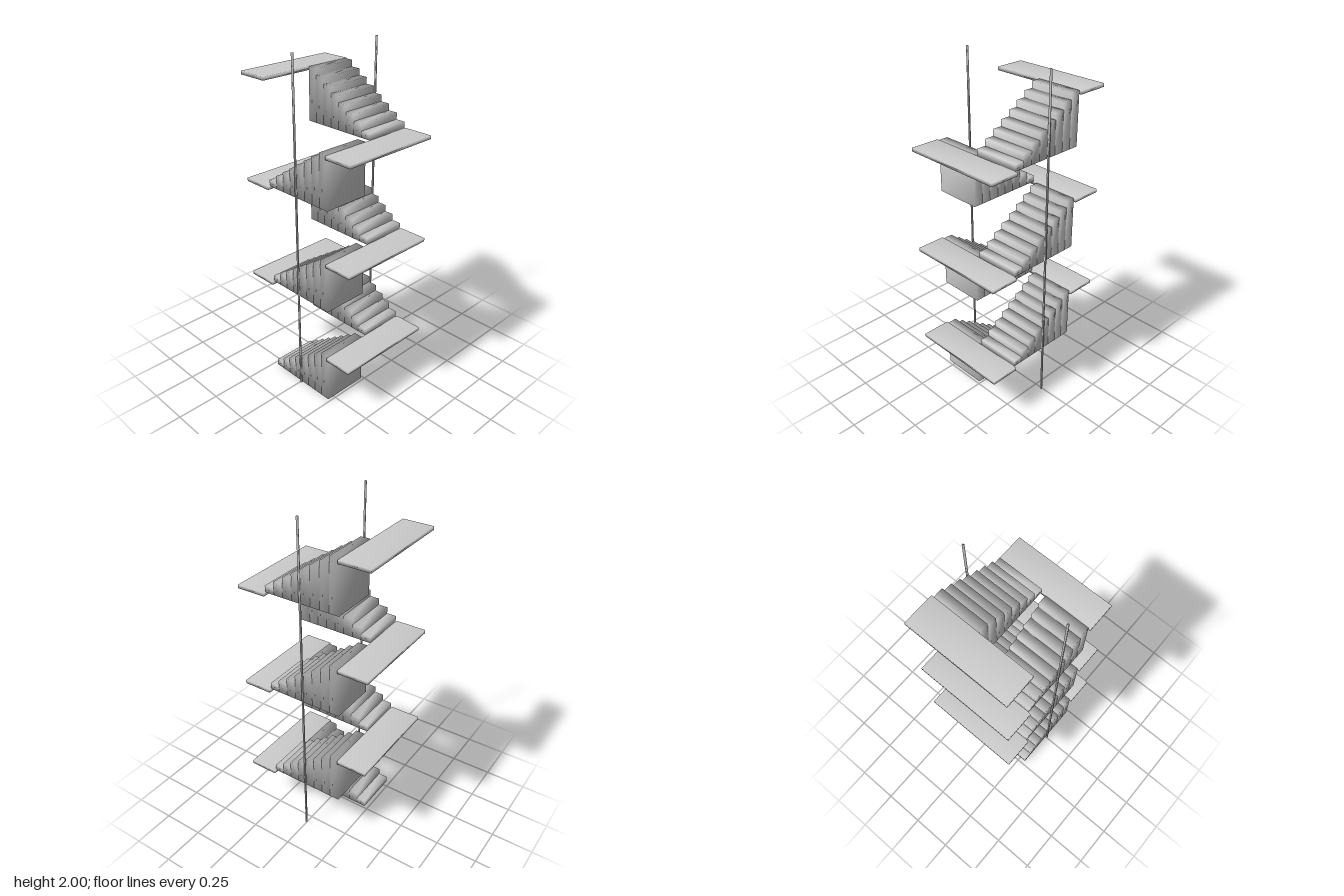
import * as THREE from 'three';
import { mergeVertices } from 'three/addons/utils/BufferGeometryUtils.js';

const FLIGHTS = 6, STEPS = 8;
const RISE = 1.84 / FLIGHTS;            // height of one flight
const BACK = -0.225, FRONT = 0.234;     // z range of the flights
const TREAD = (FRONT - BACK) / STEPS;
const END = 0.407;                      // outer edge of the landings

const material = new THREE.MeshStandardMaterial({ color: 0xcccccc });

// Box given by its limits, with normals shared softly across the corners
function softBox(name, x0, x1, y0, y1, z0, z1) {
  let geo = new THREE.BoxGeometry(x1 - x0, y1 - y0, z1 - z0);
  geo.deleteAttribute('normal');
  geo.deleteAttribute('uv');
  geo = mergeVertices(geo);
  geo.computeVertexNormals();
  geo.translate((x0 + x1) / 2, (y0 + y1) / 2, (z0 + z1) / 2);
  const mesh = new THREE.Mesh(geo, material);
  mesh.name = name;
  return mesh;
}

export function createModel() {
  const model = new THREE.Group();
  model.name = 'staircase';

  for (let f = 0; f < FLIGHTS; f++) {
    const towardFront = f % 2 === 0;
    const base = f * RISE, top = base + RISE;

    // Flight of solid steps, each standing on the level of the flight's foot
    const flight = new THREE.Group();
    flight.name = `flight${f + 1}`;
    const [x0, x1] = towardFront ? [-0.291, -0.014] : [0.014, 0.291];
    for (let s = 0; s < STEPS; s++) {
      const z = towardFront ? BACK + s * TREAD : FRONT - (s + 1) * TREAD;
      flight.add(softBox(`step${s + 1}`, x0, x1, base, base + (s + 1) * RISE / STEPS, z, z + TREAD));
    }
    model.add(flight);

    // Landing at the head of the flight
    const [z0, z1] = towardFront ? [FRONT, END] : [-END, BACK];
    model.add(softBox(`landing${f + 1}`, -0.305, 0.305, top - 0.02, top, z0, z1));
  }

  // Slim full-height poles on both sides
  for (const [name, x] of [['leftPole', 0.3], ['rightPole', -0.3]]) {
    model.add(softBox(name, x - 0.0045, x + 0.0045, 0, 2, 0, 0.009));
  }
  return model;
}
